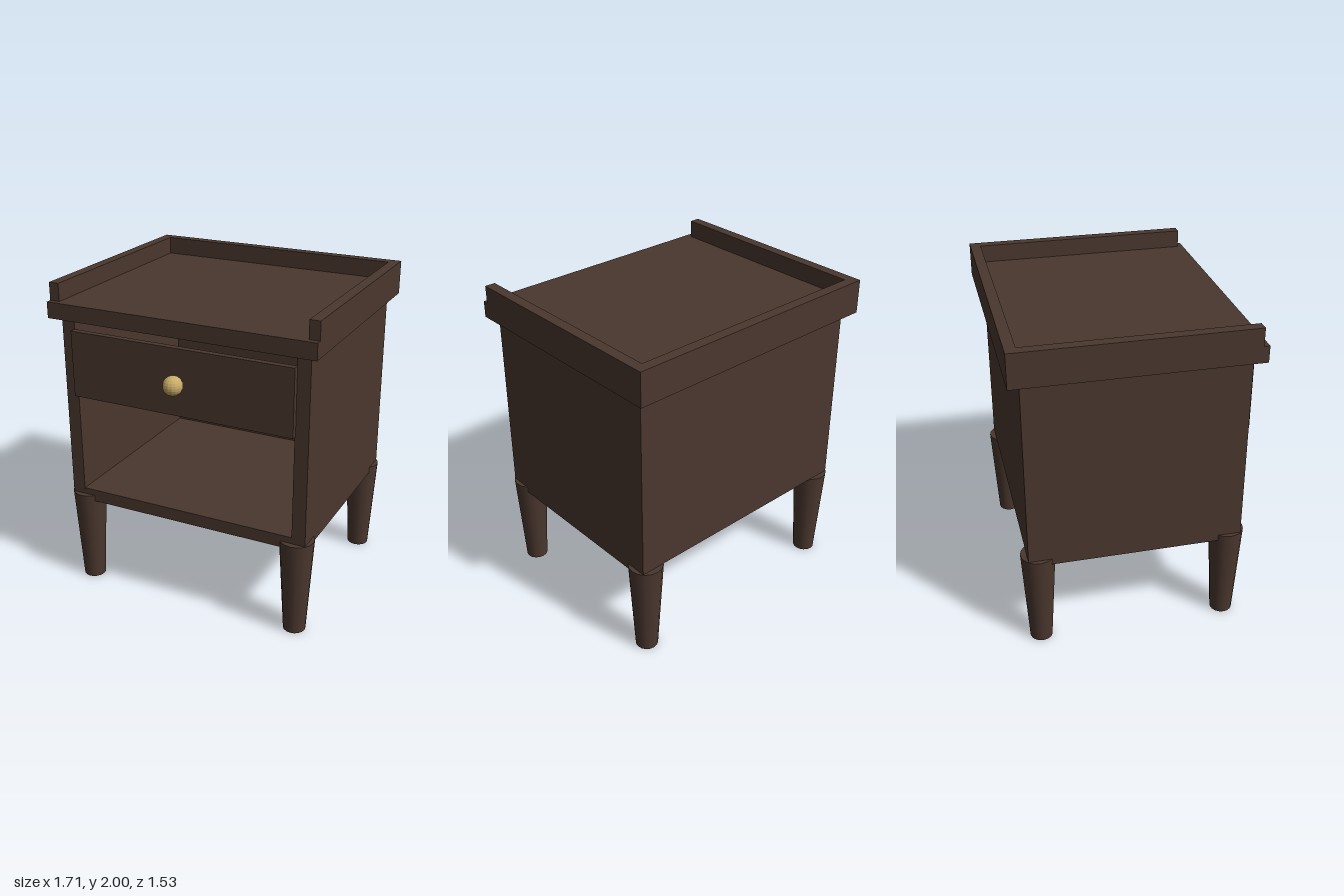
import * as THREE from 'three';

const wood = new THREE.MeshStandardMaterial({ color: 0x4a372e });
wood.name = 'dark wood';
const brass = new THREE.MeshStandardMaterial({ color: 0xc8ab68, flatShading: true });
brass.name = 'brass';

// Box given by its minimum and maximum corners
function slab(name, [x0, y0, z0], [x1, y1, z1]) {
  const geometry = new THREE.BoxGeometry(x1 - x0, y1 - y0, z1 - z0);
  geometry.translate((x0 + x1) / 2, (y0 + y1) / 2, (z0 + z1) / 2);
  const mesh = new THREE.Mesh(geometry, wood);
  mesh.name = name;
  return mesh;
}

export function createModel() {
  const model = new THREE.Group();
  model.name = 'nightstand';

  // Open-fronted cabinet
  const cabinet = new THREE.Group();
  cabinet.name = 'cabinet';
  cabinet.add(
    slab('leftSide', [0.715, 0.62, -0.695], [0.8, 1.79, 0.61]),
    slab('rightSide', [-0.8, 0.62, -0.695], [-0.715, 1.79, 0.61]),
    slab('backPanel', [-0.715, 0.62, -0.695], [0.715, 1.79, -0.65]),
    slab('bottomPanel', [-0.798, 0.58, -0.65], [0.798, 0.66, 0.609])
  );

  // Top with a raised rail on three sides
  const top = new THREE.Group();
  top.name = 'top';
  top.add(
    slab('topBoard', [-0.855, 1.79, -0.765], [0.855, 1.89, 0.675]),
    slab('leftRail', [0.79, 1.89, -0.765], [0.855, 2, 0.64]),
    slab('rightRail', [-0.855, 1.89, -0.765], [-0.79, 2, 0.64]),
    slab('backRail', [-0.79, 1.89, -0.765], [0.79, 2, -0.7])
  );

  // Drawer front and knob
  const drawer = new THREE.Group();
  drawer.name = 'drawer';
  const knob = new THREE.Mesh(new THREE.SphereGeometry(0.06, 16, 12), brass);
  knob.name = 'knob';
  knob.position.set(0, 1.515, 0.702);
  drawer.add(slab('drawerFront', [-0.72, 1.305, 0.605], [0.72, 1.72, 0.645]), knob);

  // Tapered legs
  const legs = new THREE.Group();
  legs.name = 'legs';
  const legGeometry = new THREE.CylinderGeometry(0.106, 0.069, 0.62, 16);
  for (const x of [-0.723, 0.723]) {
    for (const z of [-0.627, 0.542]) {
      const leg = new THREE.Mesh(legGeometry, wood);
      leg.name = (z > 0 ? 'front' : 'back') + (x > 0 ? 'Left' : 'Right') + 'Leg';
      leg.position.set(x, 0.31, z);
      legs.add(leg);
    }
  }

  model.add(cabinet, top, drawer, legs);
  return model;
}
